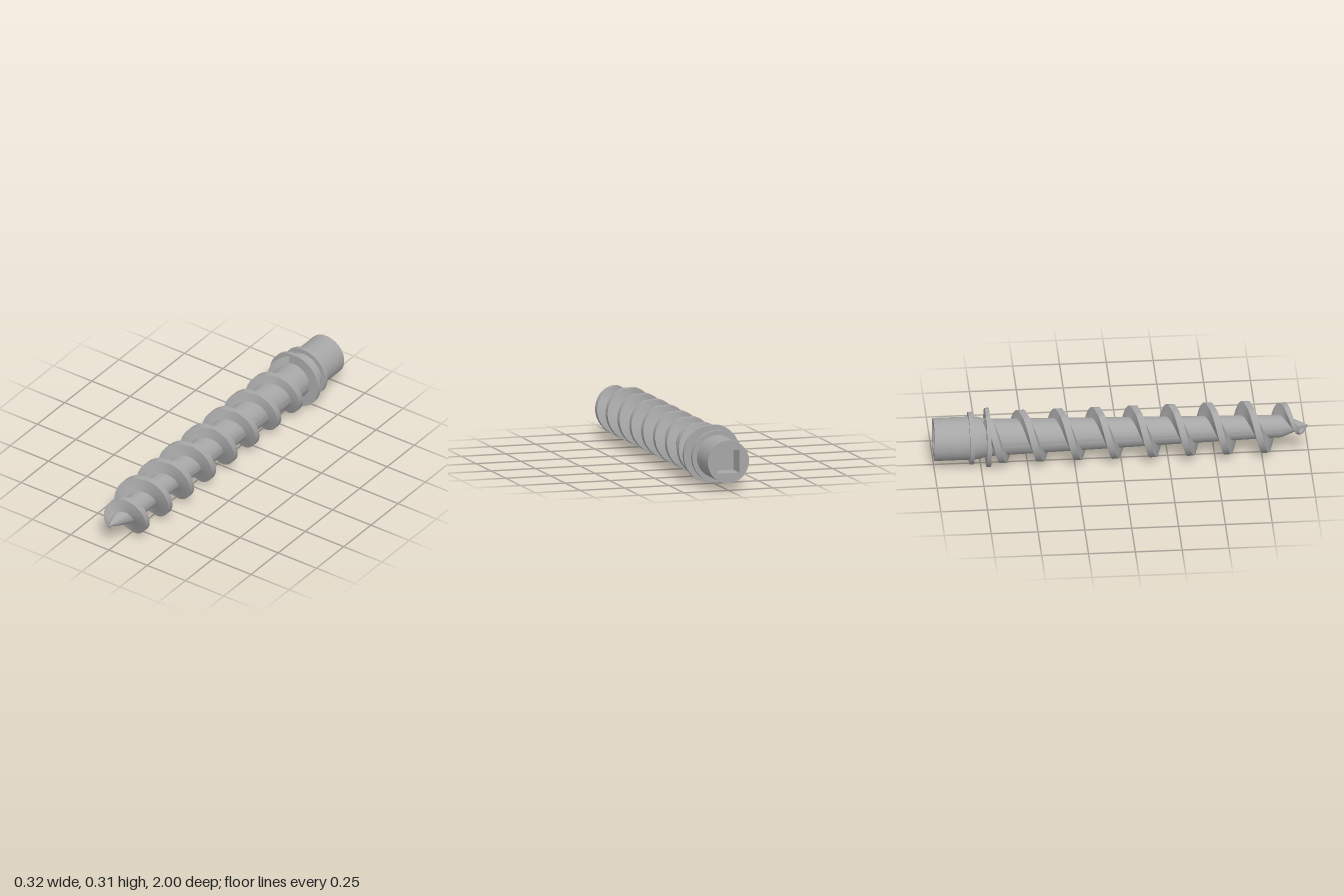
import * as THREE from 'three';
import { toCreasedNormals } from 'three/addons/utils/BufferGeometryUtils.js';

const AXIS_Y = 0.154;
const PITCH = 0.2;
const HEAD_R = 0.115;

// piecewise linear lookup in [z, value] pairs
function lookup(table, z) {
  if (z <= table[0][0]) return table[0][1];
  for (let i = 1; i < table.length; i++) {
    const [z0, v0] = table[i - 1], [z1, v1] = table[i];
    if (z <= z1) return v0 + (v1 - v0) * (z - z0) / (z1 - z0);
  }
  return table[table.length - 1][1];
}

const shaftRadius = [[-0.71, 0.1], [0.855, 0.06], [0.955, 0.022], [1, 0]];
const crestRadius = [[0.79, 0.14], [0.834, 0.133], [0.884, 0.117], [0.934, 0.073], [0.984, 0.022], [0.99, 0.008]];
const threadScale = [[0.84, 1], [0.99, 0.3]];

// grinds flats on the top and bottom of a round part
function clampY(geometry, limit) {
  const p = geometry.attributes.position;
  for (let i = 0; i < p.count; i++) p.setY(i, THREE.MathUtils.clamp(p.getY(i), -limit, limit));
  return geometry;
}

// helical ridge with a trapezoid section that fades out at the tip
function threadGeometry() {
  const z0 = -0.71, z1 = 0.99, perTurn = 64;
  const steps = Math.round((z1 - z0) / PITCH * perTurn);
  const positions = [], indices = [];
  for (let i = 0; i <= steps; i++) {
    const z = z0 + (z1 - z0) * i / steps;
    const a = Math.PI / 2 + 2 * Math.PI * (z - 0.684) / PITCH;
    const s = lookup(threadScale, z);
    const root = Math.max(lookup(shaftRadius, z) - 0.008, 0.002);
    const crest = lookup(crestRadius, z);
    const section = [[root, -0.031], [crest, -0.018], [crest, 0.018], [root, 0.031]];
    for (const [r, dz] of section) {
      positions.push(r * Math.cos(a), r * Math.sin(a), Math.min(z + dz * s, 1));
    }
    if (i === steps) break;
    for (let k = 0; k < 3; k++) {
      const p = i * 4 + k, q = p + 1;
      indices.push(p, p + 4, q, p + 4, q + 4, q);
    }
  }
  const g = new THREE.BufferGeometry();
  g.setAttribute('position', new THREE.Float32BufferAttribute(positions, 3));
  g.setIndex(indices);
  return toCreasedNormals(clampY(g, 0.134), 0.5);
}

export function createModel() {
  const group = new THREE.Group();
  const steel = new THREE.MeshStandardMaterial({ color: 0xa6a6a6 });
  steel.name = 'grey steel';
  const body = new THREE.Group();
  body.name = 'screw';
  body.position.y = AXIS_Y;
  group.add(body);

  const add = (name, geometry) => {
    const mesh = new THREE.Mesh(geometry, steel);
    mesh.name = name;
    body.add(mesh);
  };

  // neck, collar ring, tapered shaft and point, starting at the socket floor
  const profile = [
    [0, -0.9], [HEAD_R, -0.9], [HEAD_R, -0.813], [0.14, -0.813], [0.14, -0.79],
    [HEAD_R, -0.79], [0.113, -0.765], [0.107, -0.74], [0.1, -0.72],
    [0.06, 0.855], [0.022, 0.955], [0, 1]
  ].map(([r, z]) => new THREE.Vector2(r, z));
  const shaft = new THREE.LatheGeometry(profile, 64).rotateX(Math.PI / 2);
  add('shaft', toCreasedNormals(shaft, 0.3));

  // head with square drive socket
  const disc = new THREE.Shape();
  disc.absarc(0, 0, HEAD_R, 0, Math.PI * 2, false);
  const h = 0.061;
  disc.holes.push(new THREE.Path([[-h, -h], [-h, h], [h, h], [h, -h]].map(([x, y]) => new THREE.Vector2(x, y))));
  const head = new THREE.ExtrudeGeometry(disc, { depth: 0.1, bevelEnabled: false, curveSegments: 64 });
  add('socketHead', toCreasedNormals(head.translate(0, 0, -1), 0.3));

  // flange with small flats
  const flange = new THREE.CylinderGeometry(0.158, 0.158, 0.022, 96).rotateX(Math.PI / 2);
  add('flange', toCreasedNormals(clampY(flange, AXIS_Y).translate(0, 0, -0.712), 0.15));

  add('thread', threadGeometry());
  return group;
}
